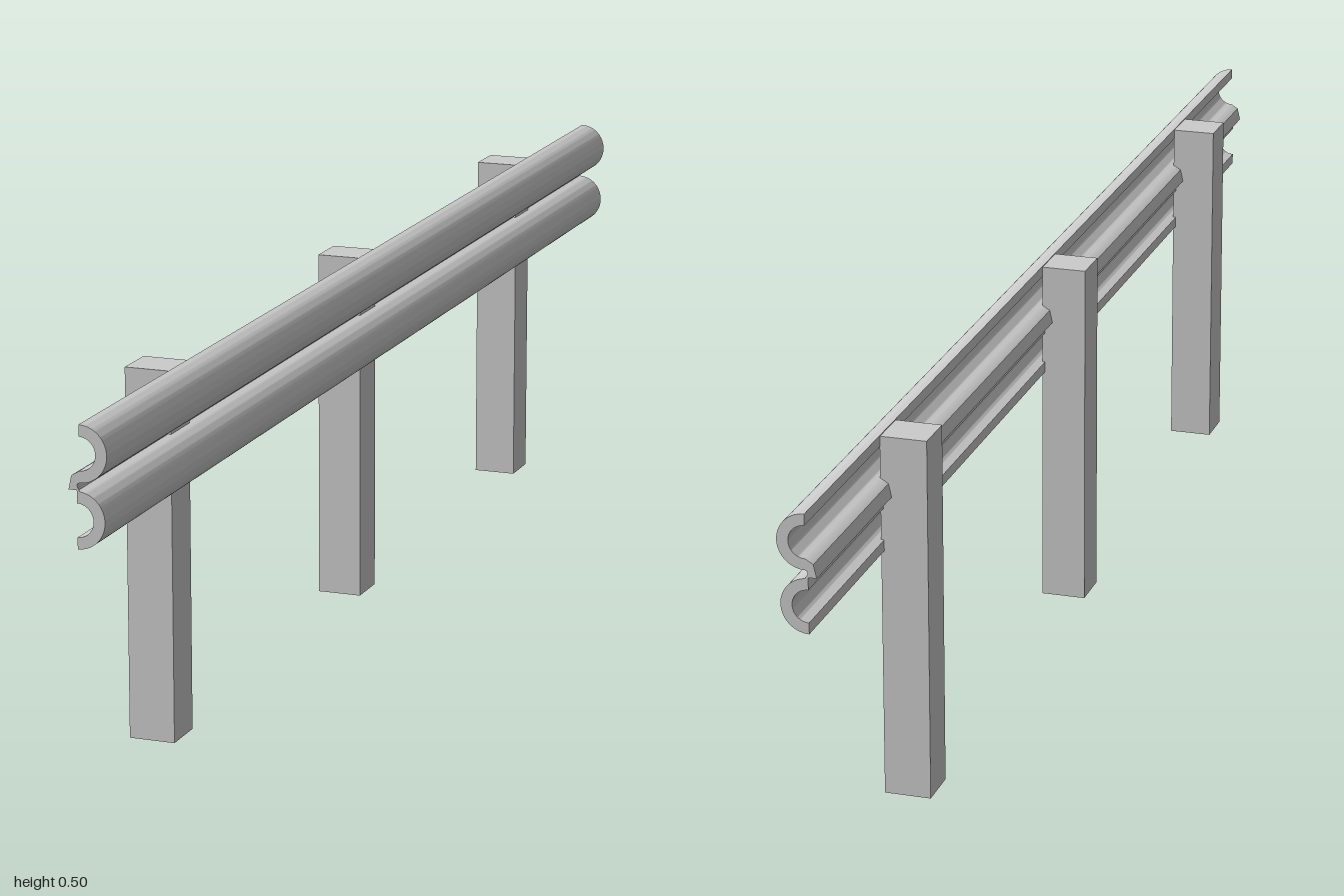
import * as THREE from 'three';
import { toCreasedNormals } from 'three/addons/utils/BufferGeometryUtils.js';

const LENGTH = 2;
const OUTER = 0.0365, INNER = 0.0215;
const UPPER = { x: 0.0125, y: 0.4598 }, LOWER = { x: 0.009, y: 0.376 };

// Closed cross-section of the double-wave rail
function railProfile() {
  const s = new THREE.Shape();
  const h = Math.PI / 2;
  s.moveTo(UPPER.x, UPPER.y + OUTER);
  s.absarc(UPPER.x, UPPER.y, OUTER, h, -h, true);
  // valley between the two waves
  s.lineTo(0.0095, 0.4215);
  s.lineTo(0.009, 0.4125);
  s.absarc(LOWER.x, LOWER.y, OUTER, h, -h, true);
  // hollow back of the lower wave
  s.lineTo(LOWER.x, LOWER.y - INNER);
  s.absarc(LOWER.x, LOWER.y, INNER, -h, h, false);
  // rear lip
  s.lineTo(0.009, 0.414);
  s.lineTo(-0.002, 0.414);
  s.lineTo(0.002, 0.432);
  // hollow back of the upper wave
  s.lineTo(UPPER.x, UPPER.y - INNER);
  s.absarc(UPPER.x, UPPER.y, INNER, -h, h, false);
  s.closePath();
  return s;
}

export function createModel() {
  const group = new THREE.Group();
  group.name = 'guardRail';
  const material = new THREE.MeshStandardMaterial({ color: 0xcccccc });

  // Rail
  const extruded = new THREE.ExtrudeGeometry(railProfile(), {
    depth: LENGTH, bevelEnabled: false, curveSegments: 24,
  });
  extruded.translate(0, 0, -LENGTH / 2);
  const rail = new THREE.Mesh(toCreasedNormals(extruded, 0.5), material);
  rail.name = 'rail';
  group.add(rail);

  // Posts
  const postGeometry = new THREE.BoxGeometry(0.0625, 0.495, 0.061);
  [['frontPost', 0.686], ['middlePost', 0], ['rearPost', -0.692]].forEach(([name, z]) => {
    const post = new THREE.Mesh(postGeometry, material);
    post.name = name;
    post.position.set(-0.01825, 0.2475, z);
    group.add(post);
  });

  return group;
}
